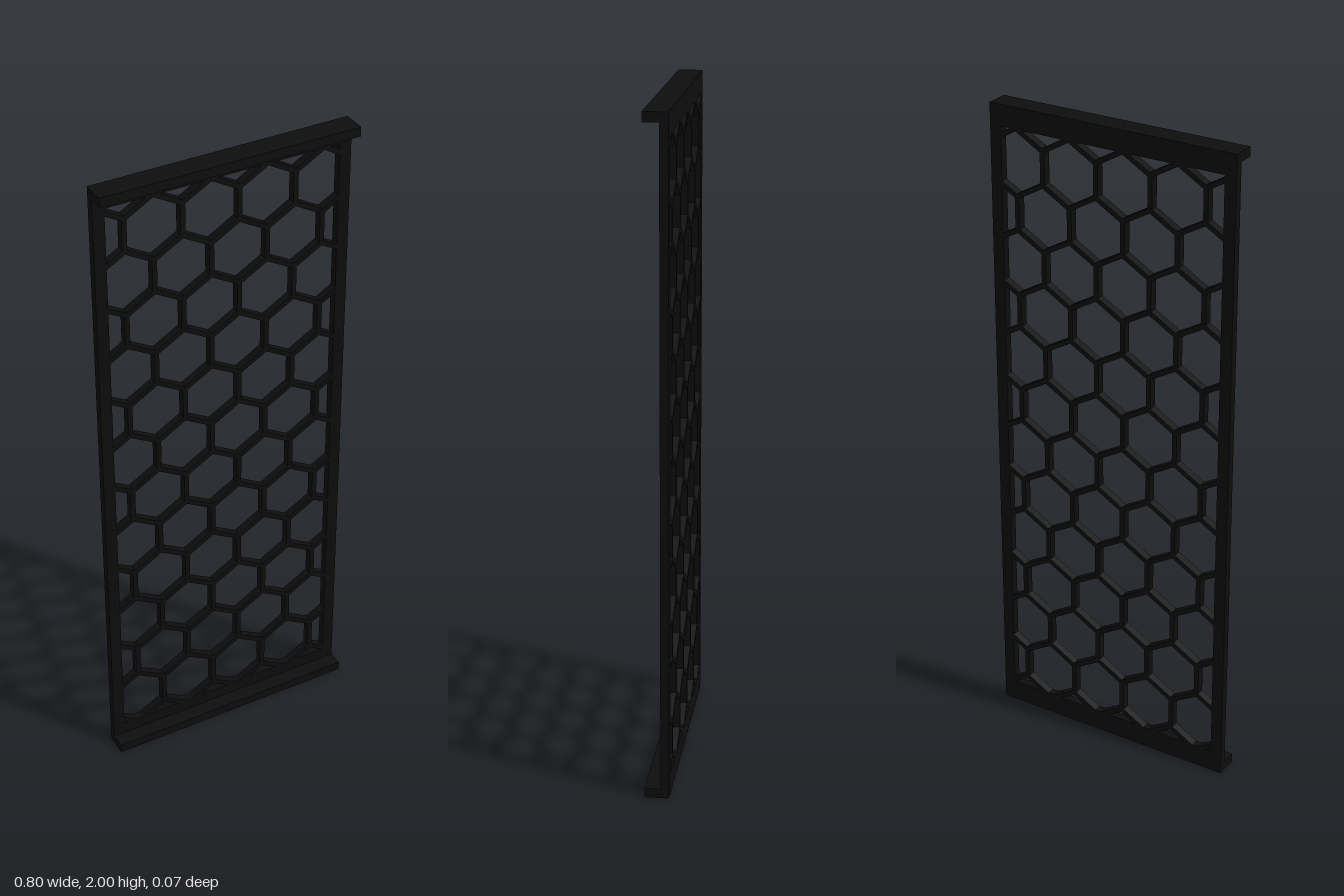
import * as THREE from 'three';

const HALF_W = 0.398, HEIGHT = 2;             // panel outline
const BACK = -0.036, FRONT = 0.036, THICK = 0.025;
const OPEN = { x: 0.362, y0: 0.067, y1: 1.935 }; // area filled with honeycomb
const PITCH = 0.1765, WALL = 0.015;           // cell spacing and wall width

// Keep the side of a polygon where dist(p) >= 0
function clip(points, dist) {
  const out = [];
  points.forEach((a, i) => {
    const b = points[(i + 1) % points.length];
    const da = dist(a), db = dist(b);
    if (da >= 0) out.push(a);
    if ((da >= 0) !== (db >= 0)) out.push(a.clone().lerp(b, da / (da - db)));
  });
  return out;
}

// One pointy-top hexagonal opening, trimmed by the frame
function cell(cx, cy) {
  const r = (PITCH - WALL) / Math.sqrt(3);
  let pts = [];
  for (let i = 0; i < 6; i++) {
    const a = Math.PI / 6 + i * Math.PI / 3;
    pts.push(new THREE.Vector2(cx + r * Math.cos(a), cy + r * Math.sin(a)));
  }
  pts = clip(pts, p => p.x + OPEN.x);
  pts = clip(pts, p => OPEN.x - p.x);
  pts = clip(pts, p => p.y - OPEN.y0);
  pts = clip(pts, p => OPEN.y1 - p.y);
  return pts;
}

export function createModel() {
  const group = new THREE.Group();
  const black = new THREE.MeshStandardMaterial({ color: 0x0d0d0d });
  black.name = 'black';

  // Flat plate pierced by staggered hexagons
  const plate = new THREE.Shape([
    new THREE.Vector2(-HALF_W, 0), new THREE.Vector2(HALF_W, 0),
    new THREE.Vector2(HALF_W, HEIGHT), new THREE.Vector2(-HALF_W, HEIGHT),
  ]);
  const rowStep = PITCH * Math.sqrt(3) / 2;
  for (let row = -1; row <= 12; row++) {
    const shift = row % 2 === 0 ? 0.047 : 0.135;
    for (let col = -4; col <= 4; col++) {
      const pts = cell(shift + (col + 0.5) * PITCH, 1.836 - row * rowStep);
      if (pts.length > 2 && Math.abs(THREE.ShapeUtils.area(pts)) > 1e-5) {
        plate.holes.push(new THREE.Path(pts));
      }
    }
  }
  const grille = new THREE.Mesh(
    new THREE.ExtrudeGeometry(plate, { depth: THICK, bevelEnabled: false }), black);
  grille.name = 'honeycombPanel';
  grille.position.z = BACK;
  group.add(grille);

  // Forward lips along the top and bottom edges
  const lipH = 0.029, lipZ = BACK + THICK;
  for (const [name, y] of [['bottomLip', lipH / 2], ['topLip', HEIGHT - lipH / 2]]) {
    const lip = new THREE.Mesh(
      new THREE.BoxGeometry(HALF_W * 2, lipH, FRONT - lipZ), black);
    lip.name = name;
    lip.position.set(0, y, (FRONT + lipZ) / 2);
    group.add(lip);
  }
  return group;
}
